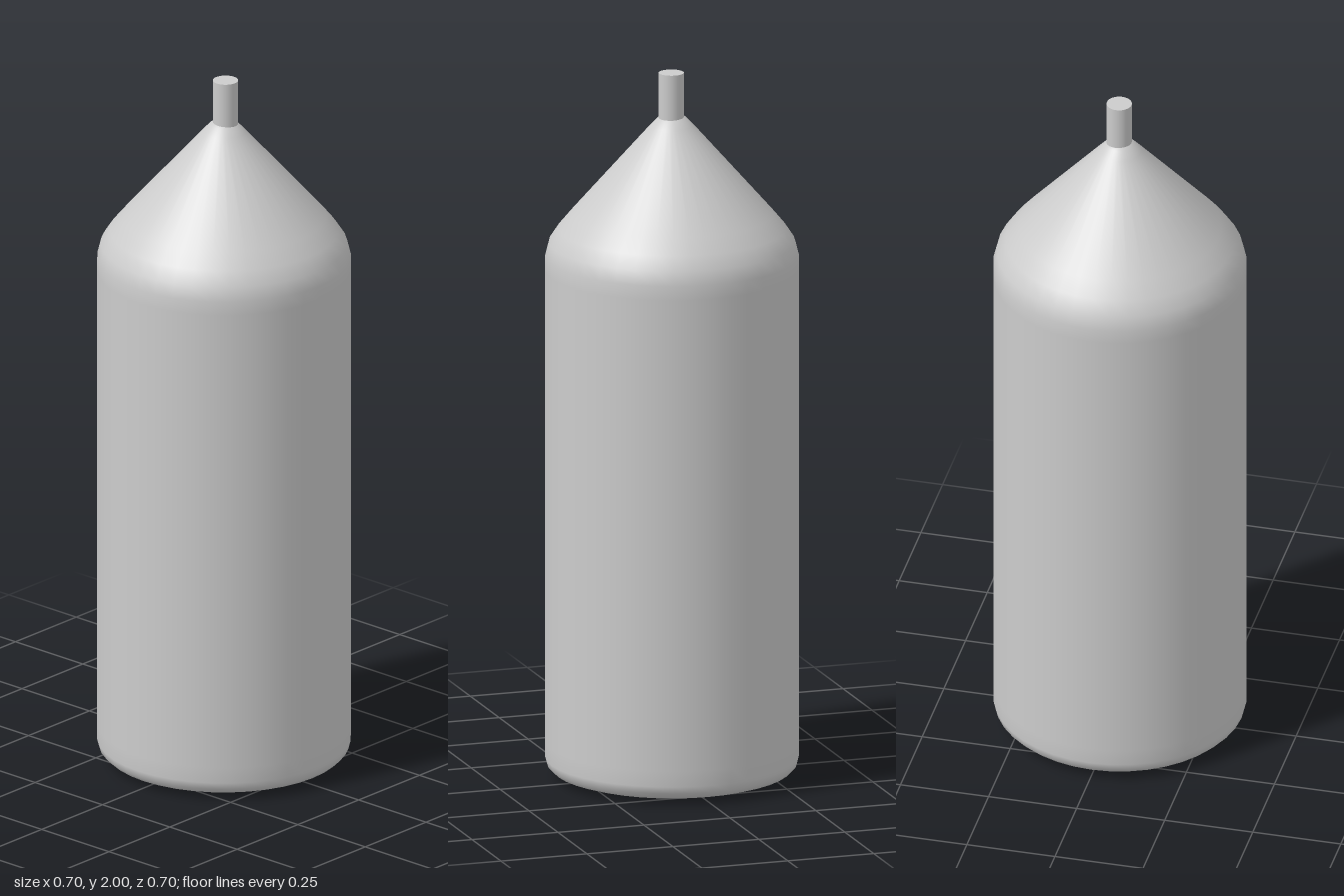
import * as THREE from 'three';

const material = new THREE.MeshStandardMaterial({ color: 0xcccccc });

function addMesh(group, name, geometry) {
  const mesh = new THREE.Mesh(geometry, material);
  mesh.name = name;
  group.add(mesh);
  return mesh;
}

export function createModel() {
  const group = new THREE.Group();
  group.name = 'bottle';

  // Body: softly rounded base, straight wall, rounded shoulder and conical top
  const profile = [
    [0, 0], [0.25, 0.004], [0.3, 0.01], [0.33, 0.02], [0.345, 0.035], [0.35, 0.055],
    [0.35, 0.1], [0.35, 1.44], [0.35, 1.48], [0.34, 1.52], [0.315, 1.558], [0.28, 1.6],
    [0.06, 1.85], [0.04, 1.871], [0.022, 1.882], [0, 1.887],
  ].map(([r, y]) => new THREE.Vector2(r, y));
  addMesh(group, 'body', new THREE.LatheGeometry(profile, 40));

  // Nozzle: slim capped pin sunk into the tip, a hair off the axis
  const nozzle = addMesh(group, 'nozzle', new THREE.CylinderGeometry(0.035, 0.035, 0.16, 32));
  nozzle.position.set(0.003, 1.92, 0.003);

  return group;
}
